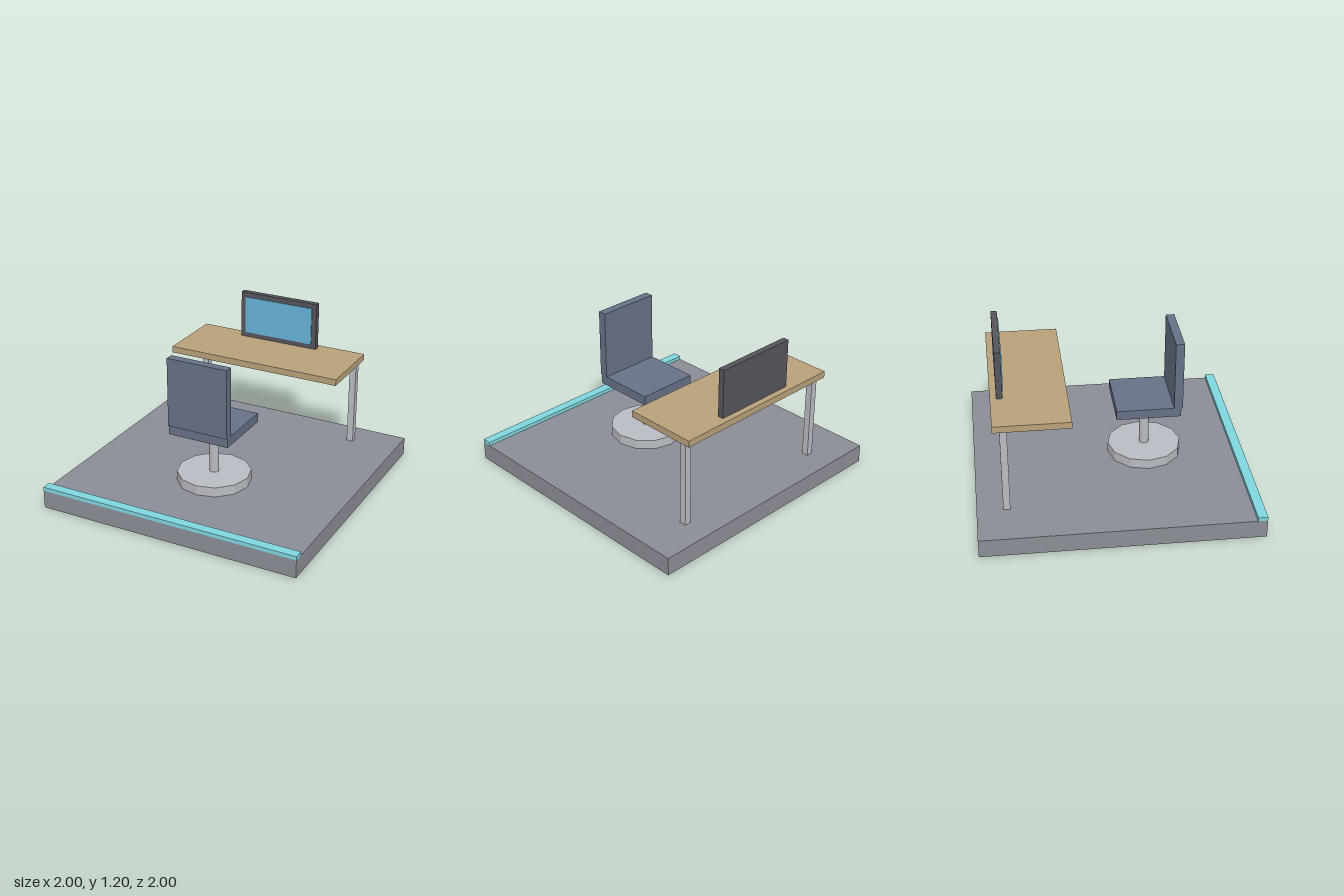
import * as THREE from 'three';

const mat = (color) => new THREE.MeshStandardMaterial({ color, flatShading: true });

export function createModel() {
  const model = new THREE.Group();
  const floorMat = mat(0x8b8d96), trimMat = mat(0x7fd6de), woodMat = mat(0xb8a07a);
  const metalMat = mat(0xb8bbc2), fabricMat = mat(0x667085);
  const frameMat = mat(0x55545c), screenMat = mat(0x66b3d9);

  const group = (name) => {
    const g = new THREE.Group();
    g.name = name;
    model.add(g);
    return g;
  };
  const add = (parent, name, geometry, material, x, y, z) => {
    const mesh = new THREE.Mesh(geometry, material);
    mesh.name = name;
    mesh.position.set(x, y, z);
    parent.add(mesh);
  };
  // Box given by its width about x, and its y and z ranges
  const box = (parent, name, material, w, [y0, y1], [z0, z1], x = 0) =>
    add(parent, name, new THREE.BoxGeometry(w, y1 - y0, z1 - z0), material, x, (y0 + y1) / 2, (z0 + z1) / 2);
  // Upright twelve-sided cylinder
  const post = (parent, name, material, r, [y0, y1], z) =>
    add(parent, name, new THREE.CylinderGeometry(r, r, y1 - y0, 12), material, 0, (y0 + y1) / 2, z);

  // Floor slab with a raised strip along its front edge
  const floor = group('floor');
  box(floor, 'floorSlab', floorMat, 2, [0, 0.136], [-1, 1]);
  box(floor, 'frontStrip', trimMat, 2, [0.136, 0.165], [0.93, 1]);

  // Desk on two legs near the back edge
  const desk = group('desk');
  box(desk, 'deskTop', woodMat, 1.365, [0.787, 0.836], [-0.863, -0.32]);
  for (const [name, side] of [['leftLeg', 1], ['rightLeg', -1]])
    box(desk, name, metalMat, 0.05, [0.136, 0.787], [-0.813, -0.763], side * 0.635);

  // Monitor standing on the desk
  const monitor = group('monitor');
  box(monitor, 'monitorFrame', frameMat, 0.635, [0.836, 1.2], [-0.818, -0.773]);
  box(monitor, 'screen', screenMat, 0.56, [0.873, 1.163], [-0.782, -0.766]);

  // Swivel chair facing the desk
  const chair = group('chair');
  post(chair, 'chairBase', metalMat, 0.272, [0.136, 0.209], 0.272);
  post(chair, 'chairPost', metalMat, 0.036, [0.209, 0.55], 0.272);
  box(chair, 'seat', fabricMat, 0.468, [0.55, 0.62], [0.038, 0.507]);
  box(chair, 'backrest', fabricMat, 0.468, [0.62, 1.138], [0.455, 0.518]);

  return model;
}
